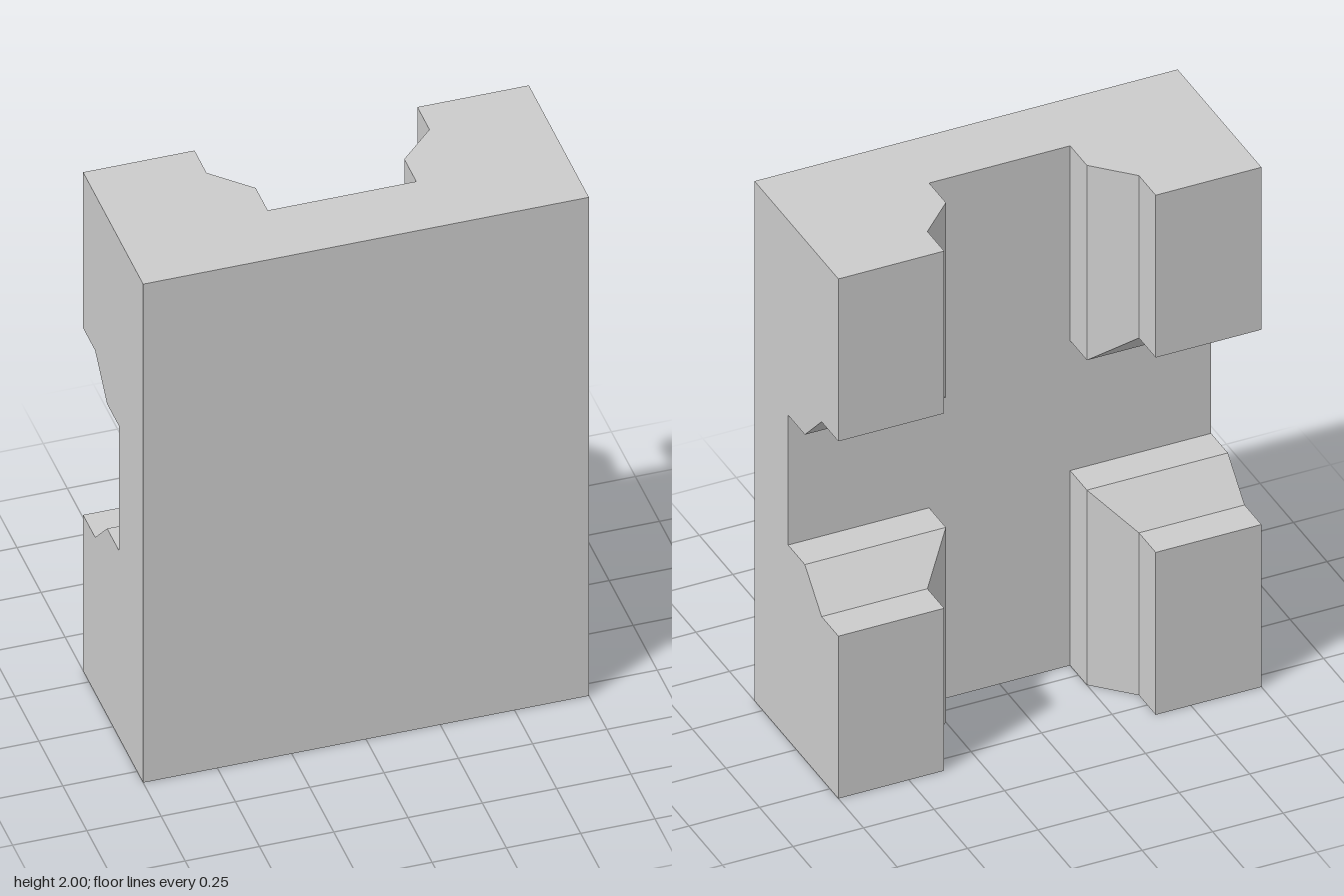
import * as THREE from 'three';

const HALF_W = 0.75, HALF_H = 1, BACK = 0.0625;

// Inner edge distance from the centre lines, and depth, from the plate to the rear face
const PROFILE = [[0.25, BACK], [0.25, -0.0625], [0.375, -0.1875], [0.375, -0.3125]];

// Corner block lofted through rectangular sections, open where it meets the plate
function cornerGeometry(sx, sy) {
  const rings = PROFILE.map(([inner, z]) => {
    const ring = [[inner, inner], [HALF_W, inner], [HALF_W, HALF_H], [inner, HALF_H]]
      .map(([x, y]) => [x * sx, y * sy, z]);
    return sx * sy < 0 ? ring.reverse() : ring;
  });
  const positions = [];
  const quad = (a, b, c, d) => positions.push(...a, ...b, ...c, ...a, ...c, ...d);
  for (let k = 0; k < rings.length - 1; k++) {
    for (let j = 0; j < 4; j++) {
      const n = (j + 1) % 4;
      quad(rings[k][j], rings[k + 1][j], rings[k + 1][n], rings[k][n]);
    }
  }
  const [a, b, c, d] = rings[rings.length - 1];
  quad(d, c, b, a); // rear cap
  const geometry = new THREE.BufferGeometry();
  geometry.setAttribute('position', new THREE.Float32BufferAttribute(positions, 3));
  geometry.computeVertexNormals();
  return geometry;
}

export function createModel() {
  const group = new THREE.Group();
  group.name = 'crossGroovedBlock';
  const material = new THREE.MeshStandardMaterial({ color: 0xcccccc, flatShading: true });

  // Front plate
  const plate = new THREE.Mesh(new THREE.BoxGeometry(HALF_W * 2, HALF_H * 2, 0.25), material);
  plate.name = 'frontPlate';
  plate.position.set(0, HALF_H, BACK + 0.125);
  group.add(plate);

  // Four corner blocks, leaving a cross-shaped groove between them
  for (const sx of [-1, 1]) {
    for (const sy of [-1, 1]) {
      const corner = new THREE.Mesh(cornerGeometry(sx, sy), material);
      corner.name = (sy > 0 ? 'upper' : 'lower') + (sx > 0 ? 'Left' : 'Right') + 'Corner';
      corner.position.y = HALF_H;
      group.add(corner);
    }
  }
  return group;
}
